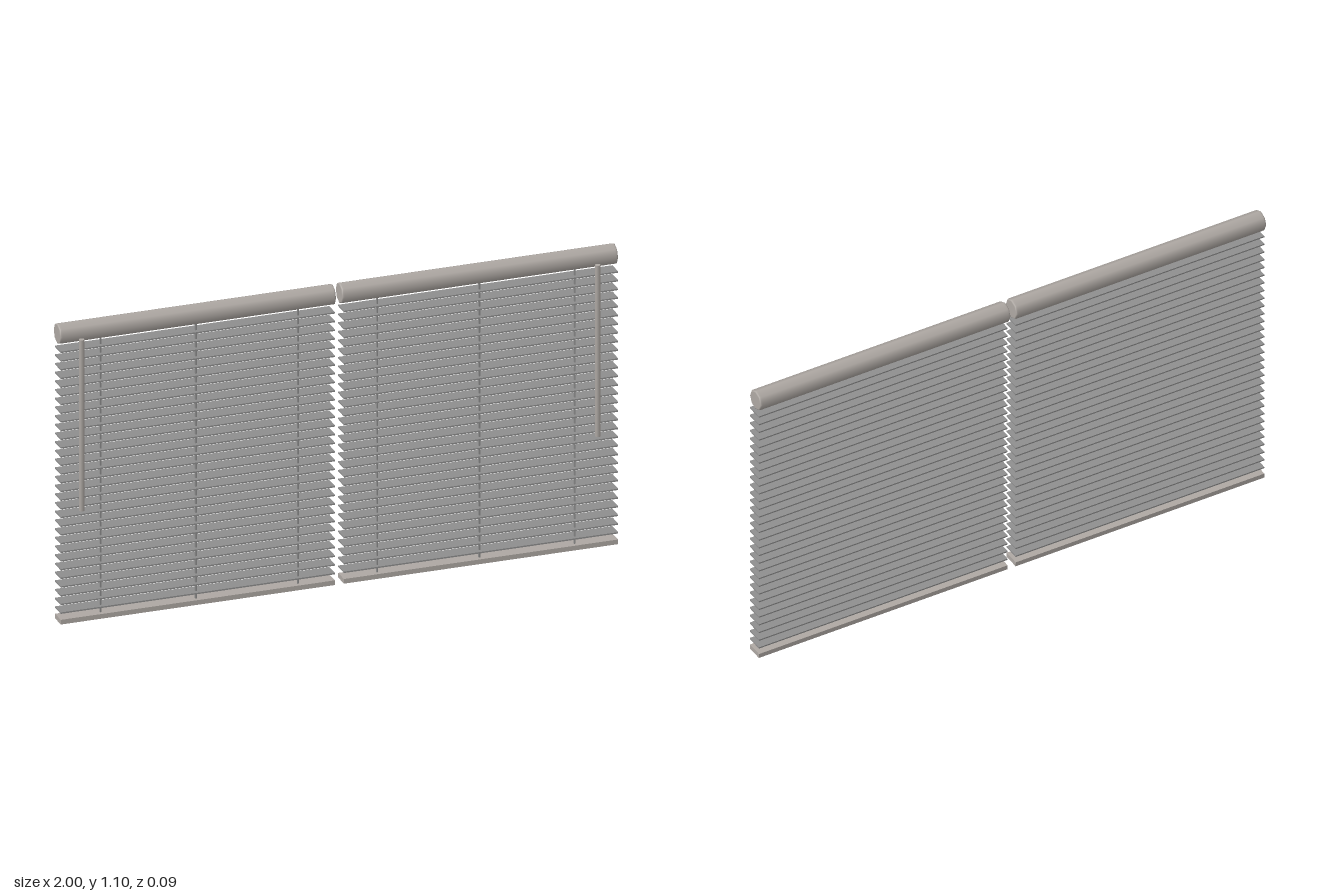
import * as THREE from 'three';

const warm = new THREE.MeshStandardMaterial({ color: 0xaea8a3 });   // rails and wands
const grey = new THREE.MeshStandardMaterial({ color: 0x8e8e8e });   // slats and cords

const INNER = 0.011, OUTER = 1;          // extent of one blind along x
const SLATS = 31, SLAT_LOW = 0.046, SLAT_STEP = 0.0323;
const TILT = -0.045;                     // front edges sit slightly higher

function add(parent, name, geometry, material, x, y, z) {
  const mesh = new THREE.Mesh(geometry, material);
  mesh.name = name;
  mesh.position.set(x, y, z);
  parent.add(mesh);
}

// Eight-sided bar along x with softly rounded ends
function roundedBar(length, radius, bevel) {
  const half = length / 2, end = [[radius, half - 2 * bevel]];
  for (let i = 0; i <= 3; i++) {
    const a = (i / 3) * Math.PI / 2;
    end.push([radius - bevel + bevel * Math.cos(a), half - bevel + bevel * Math.sin(a)]);
  }
  end.push([0, half]);
  const start = end.map(([r, y]) => [r, -y]).reverse();
  const profile = [...start, ...end].map(([r, y]) => new THREE.Vector2(r, y));
  return new THREE.LatheGeometry(profile, 8).rotateZ(Math.PI / 2);
}

// One blind; side is +1 for the model's left, -1 for its right
function createBlind(side) {
  const blind = new THREE.Group();
  blind.name = side > 0 ? 'leftBlind' : 'rightBlind';

  // Head rail
  const rail = roundedBar(OUTER - INNER, 0.037, 0.005);
  add(blind, 'headRail', rail, warm, side * (INNER + OUTER) / 2, 1.07, -0.005);

  // Stack of slats
  const width = OUTER - 0.017, centre = side * (OUTER + 0.015) / 2;
  const slat = new THREE.BoxGeometry(width, 0.005, 0.06).rotateX(TILT);
  for (let i = 0; i < SLATS; i++) {
    add(blind, 'slat', slat, grey, centre, SLAT_LOW + i * SLAT_STEP, 0.002);
  }

  // Bottom rail
  const bottom = new THREE.BoxGeometry(width, 0.017, 0.06).rotateX(TILT);
  add(blind, 'bottomRail', bottom, warm, centre, 0.0125, 0.002);

  // Flat ladder cords running through the slats
  const cord = new THREE.BoxGeometry(0.005, 1.04, 0.008);
  for (const x of [0.142, 0.508, 0.85]) add(blind, 'cord', cord, grey, side * x, 0.523, 0.011);

  // Tilt wand hanging in front, near the outer end
  const wand = new THREE.CylinderGeometry(0.0095, 0.0095, 0.636, 8);
  add(blind, 'tiltWand', wand, warm, side * 0.925, 0.737, 0.0345);

  return blind;
}

export function createModel() {
  const model = new THREE.Group();
  model.name = 'windowBlinds';
  for (const side of [-1, 1]) model.add(createBlind(side));
  return model;
}
